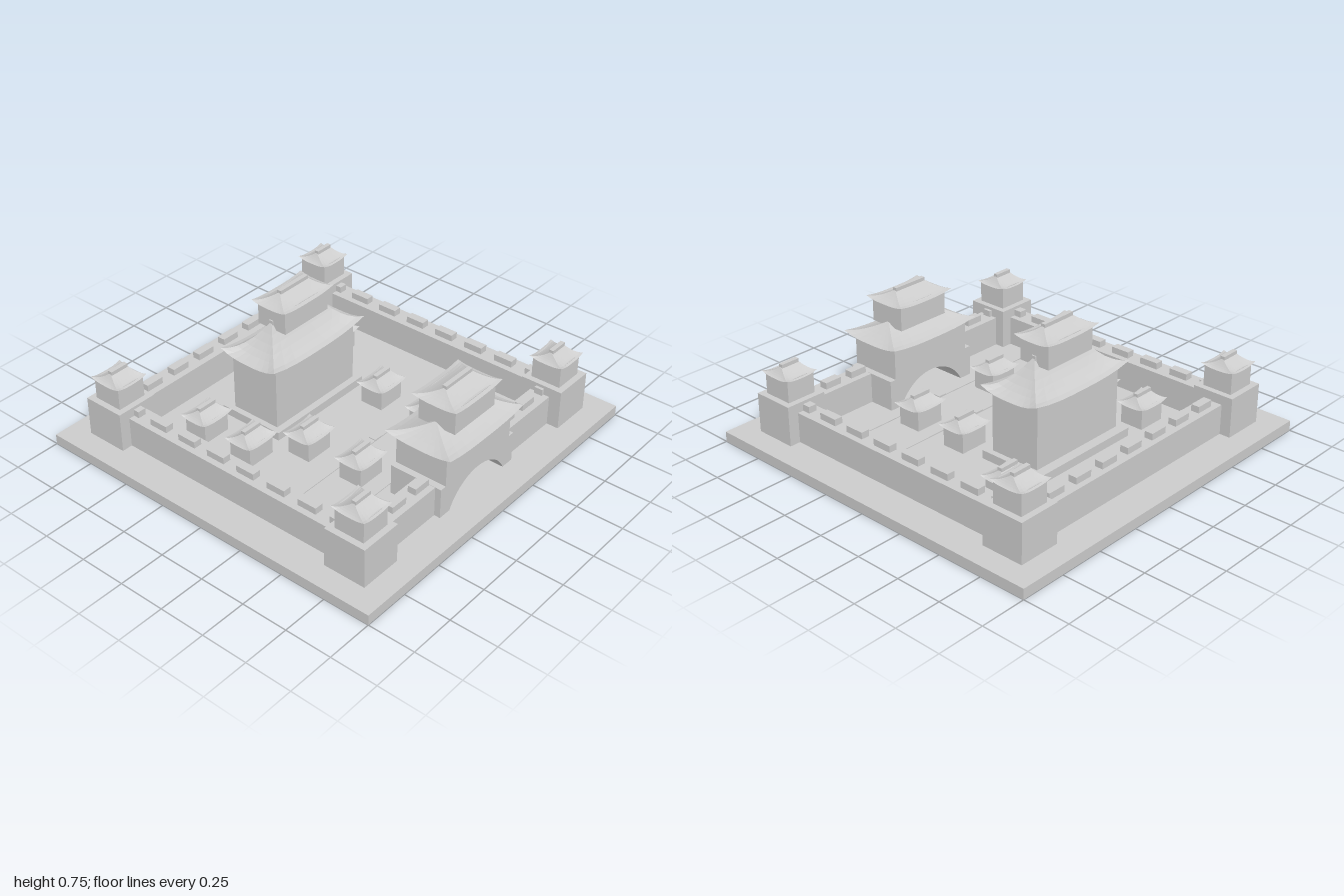
import * as THREE from 'three';

const stone = new THREE.MeshStandardMaterial({ color: 0xcccccc, flatShading: true, side: THREE.DoubleSide });
stone.name = 'pale stone';

const GROUND = 0.055;

function add(parent, name, geometry) {
  const mesh = new THREE.Mesh(geometry, stone);
  mesh.name = name;
  parent.add(mesh);
  return mesh;
}

// Box given by its centre in plan, its full size in plan, and its bottom and top
function box(parent, name, x, z, w, d, y0, y1) {
  const mesh = add(parent, name, new THREE.BoxGeometry(w, y1 - y0, d));
  mesh.position.set(x, (y0 + y1) / 2, z);
  return mesh;
}

// Hipped roof shell: concave slopes, upturned corners, short ridge along x
function roofGeometry({ hx, hz, rise, ridge, lift, power = 1.5 }) {
  const across = 8, up = 6, positions = [], index = [];
  for (let side = 0; side < 4; side++) {
    const start = positions.length / 3;
    for (let j = 0; j <= up; j++) {
      const t = j / up;
      const ex = THREE.MathUtils.lerp(hx, ridge, t);
      const ez = THREE.MathUtils.lerp(hz, 0.006, t);
      for (let i = 0; i <= across; i++) {
        const u = (i / across) * 2 - 1;
        const y = rise * t ** power + lift * Math.abs(u) ** 3 * (1 - t) ** 2;
        const sign = side < 2 ? 1 : -1;
        if (side % 2 === 0) positions.push(sign * u * ex, y, sign * ez);
        else positions.push(sign * ex, y, -sign * u * ez);
      }
    }
    for (let j = 0; j < up; j++) {
      for (let i = 0; i < across; i++) {
        const a = start + j * (across + 1) + i, b = a + 1;
        const c = a + across + 1, d = c + 1;
        index.push(a, b, d, a, d, c);
      }
    }
  }
  const geometry = new THREE.BufferGeometry();
  geometry.setAttribute('position', new THREE.Float32BufferAttribute(positions, 3));
  geometry.setIndex(index);
  geometry.computeVertexNormals();
  return geometry;
}

// Roof shell with a ridge beam on top
function roof(parent, name, x, z, eave, options) {
  add(parent, name, roofGeometry(options)).position.set(x, eave, z);
  const top = eave + options.rise;
  box(parent, name + 'Ridge', x, z, options.ridge * 2, 0.024, top - 0.015, top + 0.015);
}

const SMALL_ROOF = { hx: 0.095, hz: 0.095, rise: 0.046, ridge: 0.052, lift: 0.013 };

function cornerTower(x, z) {
  const tower = new THREE.Group();
  tower.name = 'cornerTower';
  box(tower, 'towerBase', x, z, 0.23, 0.23, GROUND, 0.268);
  box(tower, 'towerRoom', x, z, 0.164, 0.164, 0.268, 0.385);
  roof(tower, 'towerRoof', x, z, 0.38, SMALL_ROOF);
  return tower;
}

function house(x, z) {
  const group = new THREE.Group();
  group.name = 'house';
  box(group, 'houseWalls', x, z, 0.16, 0.13, GROUND, 0.17);
  roof(group, 'houseRoof', x, z, 0.164, { ...SMALL_ROOF, hx: 0.1, hz: 0.083, ridge: 0.055 });
  return group;
}

function gatehouse() {
  const gate = new THREE.Group();
  gate.name = 'gatehouse';
  const z = 0.70, half = 0.145;

  // Base pierced by a segmental arch
  const radius = 0.241, centreY = -0.054;
  const foot = Math.asin((GROUND - centreY) / radius);
  const shape = new THREE.Shape();
  shape.moveTo(-0.288, GROUND);
  shape.lineTo(-0.288, 0.218);
  shape.lineTo(0.288, 0.218);
  shape.lineTo(0.288, GROUND);
  shape.absarc(0, centreY, radius, foot, Math.PI - foot, false);
  shape.closePath();
  const base = new THREE.ExtrudeGeometry(shape, { depth: half * 2, bevelEnabled: false, curveSegments: 20 });
  add(gate, 'archedBase', base).position.z = z - half;

  box(gate, 'gateHall', 0, z, 0.505, half * 2, 0.218, 0.39);
  add(gate, 'gateLowerRoof', roofGeometry({
    hx: 0.29, hz: 0.187, rise: 0.08, ridge: 0.155, lift: 0.02, power: 1.3,
  })).position.set(0, 0.383, z + 0.003);
  box(gate, 'gateUpperRoom', 0, z + 0.008, 0.31, 0.208, 0.44, 0.575);
  roof(gate, 'gateUpperRoof', 0, z + 0.004, 0.568, { hx: 0.18, hz: 0.128, rise: 0.052, ridge: 0.1, lift: 0.013 });
  return gate;
}

function palace() {
  const group = new THREE.Group();
  group.name = 'palace';
  const z = -0.30;
  box(group, 'palacePlatform', 0, z - 0.008, 0.65, 0.375, GROUND, 0.1);
  box(group, 'palaceHall', 0, z, 0.585, 0.284, 0.1, 0.44);
  roof(group, 'palaceLowerRoof', 0, z, 0.43, { hx: 0.34, hz: 0.176, rise: 0.16, ridge: 0.165, lift: 0.03, power: 1.7 });
  box(group, 'palaceUpperRoom', 0, z, 0.315, 0.176, 0.555, 0.685);
  roof(group, 'palaceUpperRoof', 0, z, 0.678, { hx: 0.182, hz: 0.108, rise: 0.054, ridge: 0.1, lift: 0.013 });
  return group;
}

export function createModel() {
  const model = new THREE.Group();
  model.name = 'walledPalace';
  box(model, 'ground', 0, 0, 2, 2, 0, GROUND);

  // Surrounding walls
  const W = 0.762, TOP = 0.217, CREST = 0.252;
  for (const s of [-1, 1]) {
    box(model, 'sideWall', s * W, 0, 0.112, 1.4, GROUND, TOP);
    box(model, 'frontWall', s * 0.47, W - 0.006, 0.4, 0.112, GROUND, TOP);
  }
  box(model, 'backWall', 0, -W, 1.4, 0.112, GROUND, TOP);

  // Merlons along the wall tops
  for (let i = 0; i < 7; i++) {
    box(model, 'backMerlon', (i - 3) * 0.183, -W - 0.003, 0.102, 0.046, TOP, CREST);
  }
  for (const s of [-1, 1]) {
    for (let i = 0; i < 8; i++) {
      box(model, 'sideMerlon', s * W, -0.668 + i * 0.189, 0.046, 0.107, TOP, CREST);
    }
    for (let i = 0; i < 3; i++) {
      box(model, 'frontMerlon', s * (0.343 + i * 0.168), W - 0.006, 0.098, 0.046, TOP, CREST);
    }
  }

  for (const x of [-W, W]) for (const z of [-W, W]) model.add(cornerTower(x, z));

  // Courtyard strips with a small crossing in the middle
  for (const z of [0.23, 0.495]) {
    for (const s of [-1, 1]) box(model, 'courtyardStrip', s * 0.319, z, 0.587, 0.038, GROUND, 0.06);
    box(model, 'crossing', 0, z, 0.05, 0.038, GROUND, 0.064);
  }

  // Courtyard houses
  const houses = [
    [-0.495, -0.443], [0.495, -0.443], [-0.493, -0.145],
    [-0.28, 0.042], [0.28, 0.042], [-0.272, 0.36], [0.27, 0.36],
  ];
  for (const [x, z] of houses) model.add(house(x, z));

  model.add(gatehouse(), palace());
  return model;
}
